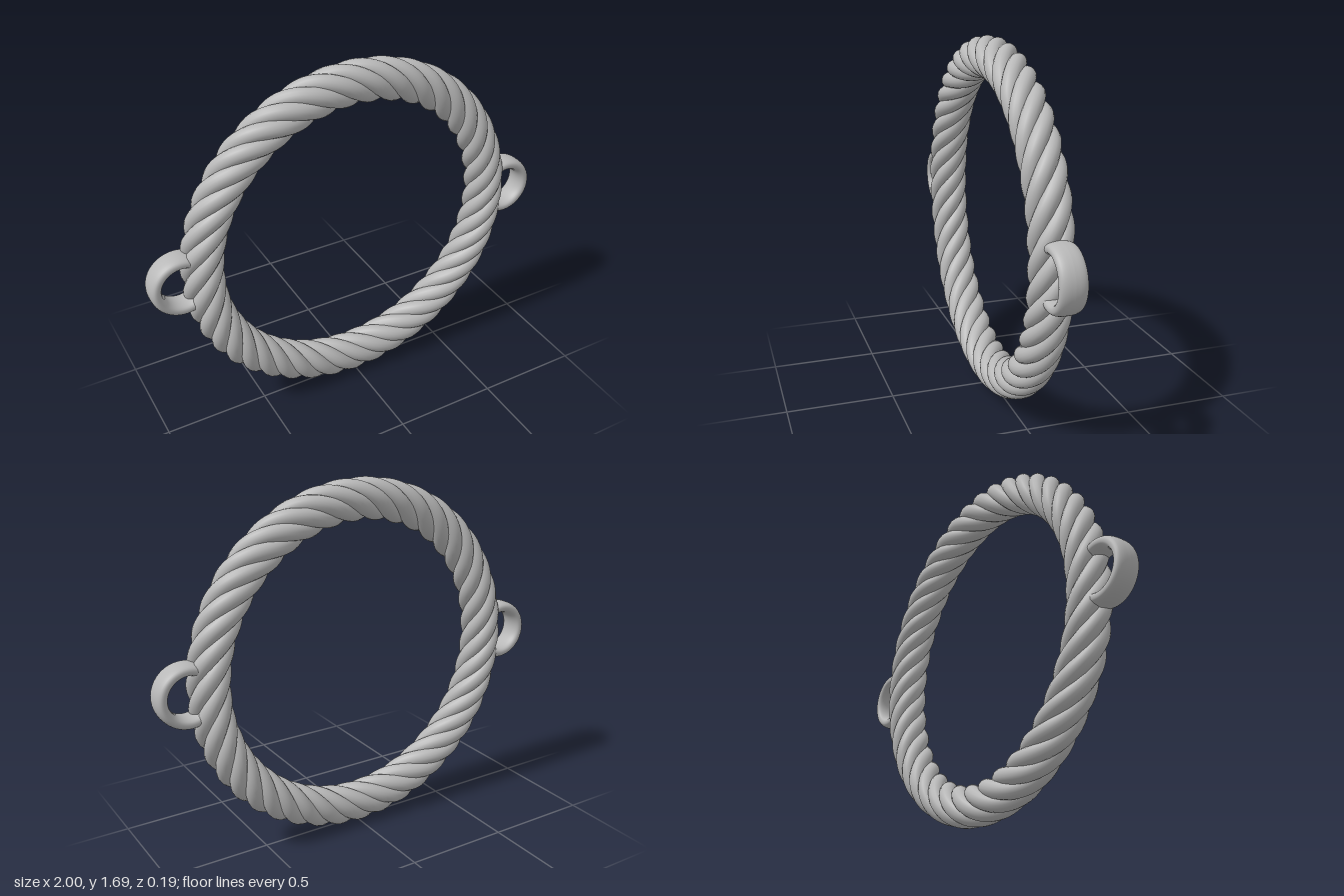
import * as THREE from 'three';

const CENTER_Y = 0.85;
const RING_RADIUS = 0.748;
const STRANDS = 5;
const TWISTS = 8;
const STRAND_OFFSET = 0.058; // strand centre from rope centre
const STRAND_RADIUS = 0.039;

// Closed helix wound around the big ring
class StrandCurve extends THREE.Curve {
  constructor(phase) {
    super();
    this.phase = phase;
  }
  getPoint(t, target = new THREE.Vector3()) {
    const a = t * Math.PI * 2;
    const phi = a * TWISTS + this.phase;
    const rho = RING_RADIUS + STRAND_OFFSET * Math.cos(phi);
    return target.set(rho * Math.sin(a), rho * Math.cos(a), STRAND_OFFSET * Math.sin(phi));
  }
}

// Wide flat loop with a rounded band section
function loopGeometry() {
  const points = [];
  const steps = 28;
  const soft = (v) => Math.sign(v) * Math.pow(Math.abs(v), 0.8);
  for (let i = 0; i <= steps; i++) {
    const t = (i / steps) * Math.PI * 2;
    points.push(new THREE.Vector2(0.12 + 0.027 * soft(Math.cos(t)), 0.059 * soft(Math.sin(t))));
  }
  return new THREE.LatheGeometry(points, 64).rotateX(Math.PI / 2);
}

export function createModel() {
  const model = new THREE.Group();
  const grey = new THREE.MeshStandardMaterial({ color: 0xb8b8b8 });
  grey.name = 'grey';

  // Twisted rope ring
  const rope = new THREE.Group();
  rope.name = 'ropeRing';
  rope.position.y = CENTER_Y;
  for (let k = 0; k < STRANDS; k++) {
    const curve = new StrandCurve(((2 * k + 1) * Math.PI) / STRANDS);
    const strand = new THREE.Mesh(new THREE.TubeGeometry(curve, 360, STRAND_RADIUS, 16, true), grey);
    strand.name = `strand${k + 1}`;
    rope.add(strand);
  }
  model.add(rope);

  // Side loops, half sunk into the rope
  const loop = loopGeometry();
  for (const [name, side] of [['leftLoop', 1], ['rightLoop', -1]]) {
    const mesh = new THREE.Mesh(loop, grey);
    mesh.name = name;
    mesh.position.set(side * 0.853, CENTER_Y, 0);
    model.add(mesh);
  }
  return model;
}
